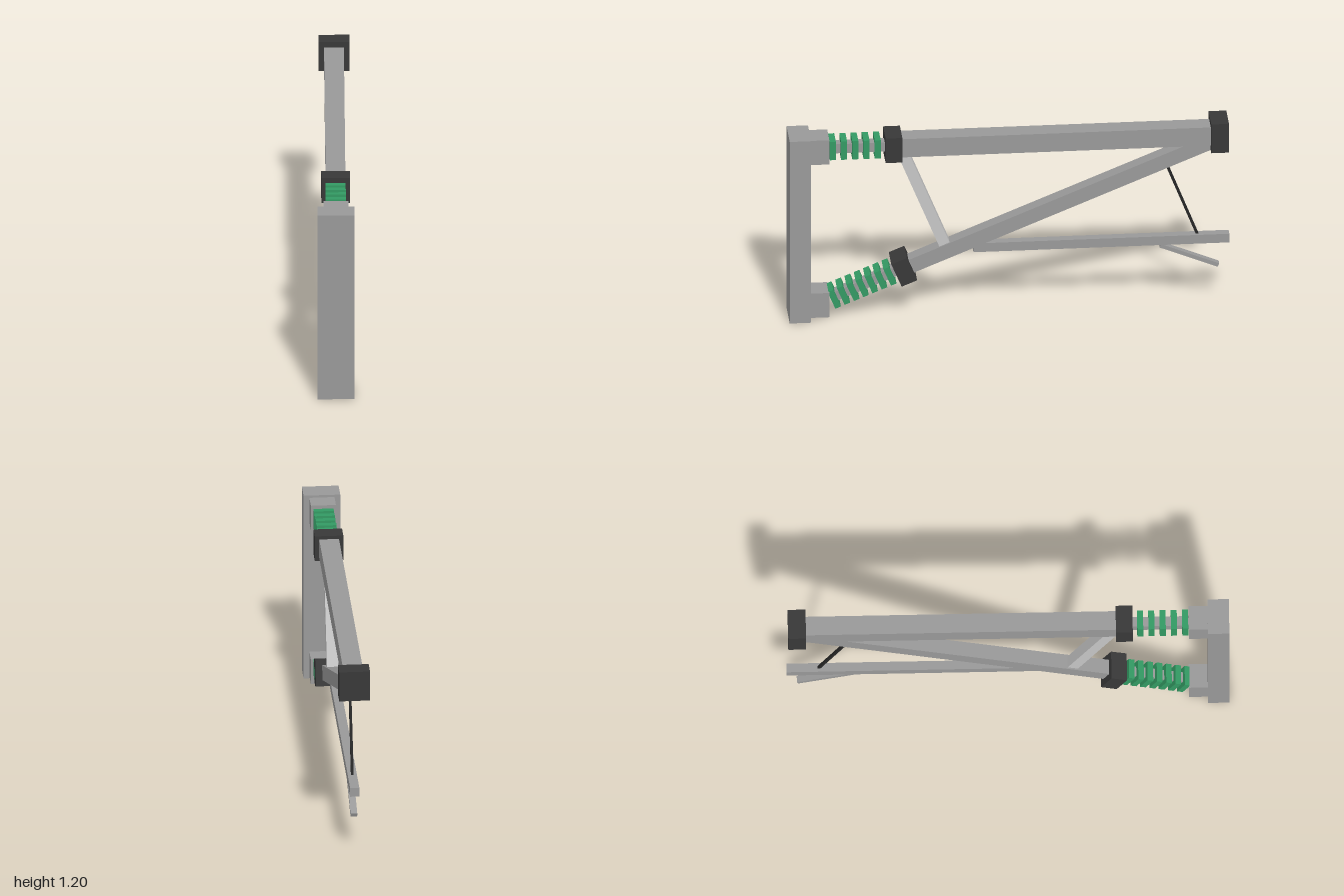
import * as THREE from 'three';

export function createModel() {
  const mat = (name, color) => {
    const m = new THREE.MeshStandardMaterial({ color });
    m.name = name;
    return m;
  };
  const steel = mat('steel', 0x999999);
  const paleSteel = mat('paleSteel', 0xc6c6c6);
  const charcoal = mat('charcoal', 0x383838);
  const black = mat('black', 0x262626);
  const green = mat('green', 0x339a63);

  // The frame is laid out in its own flat plane (u along, y up), then turned 45 degrees
  const frame = new THREE.Group();
  frame.name = 'frame';

  // Upright box: u and y ranges, depth across the plane
  function block(name, material, u0, u1, y0, y1, depth) {
    const mesh = new THREE.Mesh(new THREE.BoxGeometry(u1 - u0, y1 - y0, depth), material);
    mesh.position.set((u0 + u1) / 2, (y0 + y1) / 2, 0);
    mesh.name = name;
    frame.add(mesh);
  }

  // Bar running between two points [u, y]
  function bar(name, material, a, b, thick, depth = thick) {
    const du = b[0] - a[0], dy = b[1] - a[1];
    const mesh = new THREE.Mesh(new THREE.BoxGeometry(Math.hypot(du, dy), thick, depth), material);
    mesh.position.set((a[0] + b[0]) / 2, (a[1] + b[1]) / 2, 0);
    mesh.rotation.z = Math.atan2(dy, du);
    mesh.name = name;
    frame.add(mesh);
  }

  // Collar, core rod and evenly spaced fins, from the collar centre along an angle
  function spring(name, start, angle, length, count, pitch, firstFin) {
    const group = new THREE.Group();
    group.name = name;
    group.position.set(start[0], start[1], 0);
    group.rotation.z = angle;
    const add = (part, material, x, l, h, d) => {
      const mesh = new THREE.Mesh(new THREE.BoxGeometry(l, h, d), material);
      mesh.position.x = x;
      mesh.name = part;
      group.add(mesh);
    };
    add('collar', charcoal, 0, 0.1, 0.162, 0.17);
    add('coreRod', steel, length / 2, length, 0.06, 0.06);
    for (let i = 0; i < count; i++) add('fin', green, firstFin + i * pitch, 0.036, 0.12, 0.12);
    frame.add(group);
  }

  // Mounting post with two brackets
  block('post', steel, 1.177, 1.305, 0, 1.2, 0.219);
  block('upperBracket', steel, 1.065, 1.177, 1.025, 1.185, 0.15);
  block('lowerBracket', steel, 1.065, 1.177, 0.015, 0.175, 0.15);

  // Main beams meeting at the end cap
  block('endCap', charcoal, -1.322, -1.216, 1.01, 1.2, 0.184);
  block('upperBeam', steel, -1.216, 0.64, 1.045, 1.165, 0.118);
  bar('lowerBeam', steel, [-1.214, 1.057], [0.619, 0.297], 0.09);

  // Finned springs between beams and post
  spring('upperSpring', [0.68, 1.105], 0, 0.4, 5, 0.067, 0.095);
  spring('lowerSpring', [0.619, 0.297], -Math.atan(0.415), 0.46, 7, 0.06, 0.09);

  // Inner brace, hanging arm, rod and sloping foot
  bar('brace', paleSteel, [0.355, 0.4], [0.622, 1.06], 0.066, 0.07);
  block('lowerArm', steel, -1.33, 0.2, 0.385, 0.442, 0.055);
  bar('hangerRod', black, [-1.147, 0.42], [-0.955, 0.91], 0.016);
  bar('foot', steel, [-1.265, 0.234], [-0.918, 0.376], 0.024, 0.04);

  frame.rotation.y = -Math.PI / 4;
  const model = new THREE.Group();
  model.name = 'model';
  model.add(frame);
  return model;
}
